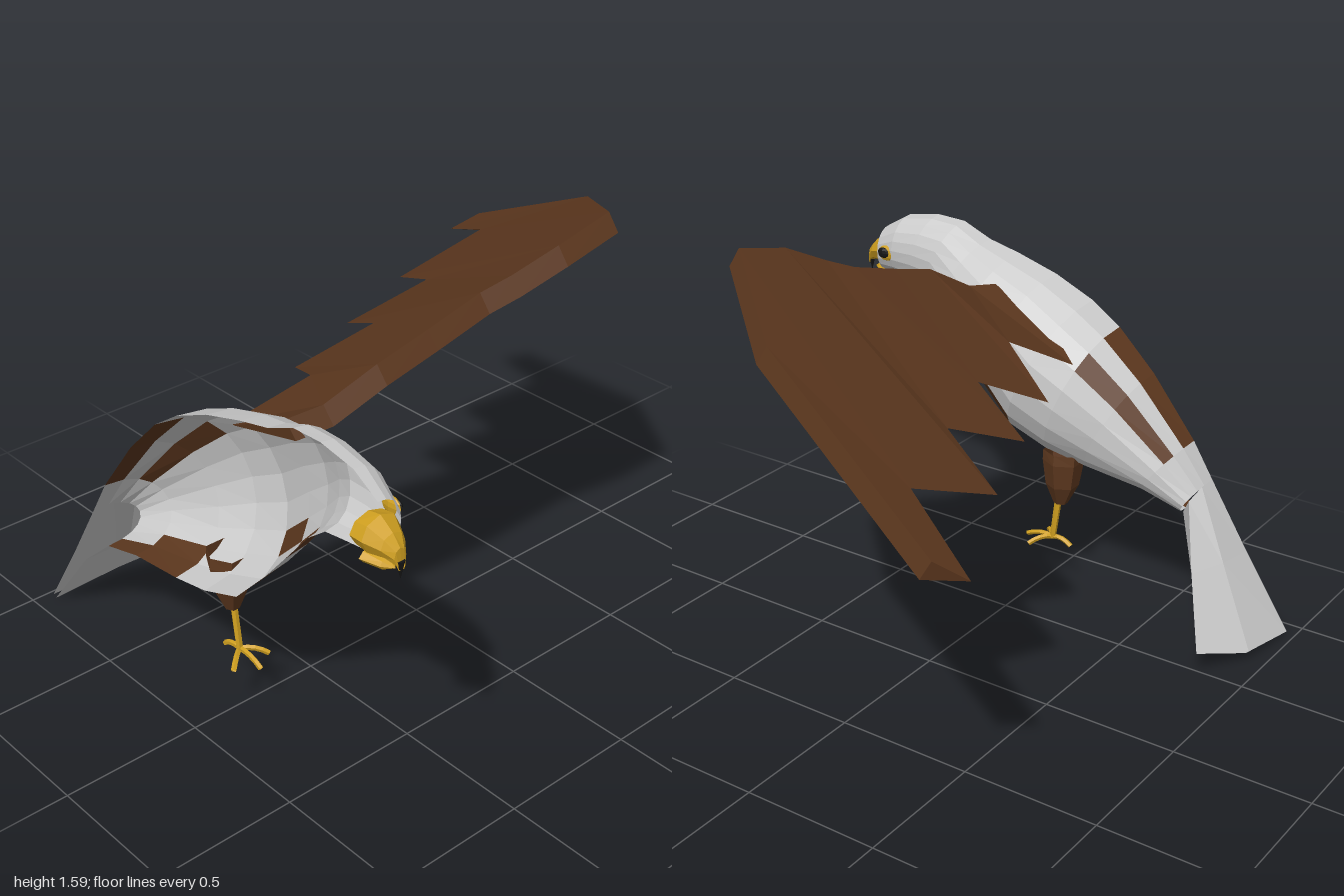
import * as THREE from 'three';

const MID = -0.93; // centre plane of the half bird
const mat = (color) => new THREE.MeshStandardMaterial({ color, flatShading: true, side: THREE.DoubleSide });
const grey = mat(0xcccccc), brown = mat(0x5c371e), yellow = mat(0xd0a020), black = mat(0x151515);

function named(geo, material, name) {
  const m = new THREE.Mesh(geo, material);
  m.name = name;
  return m;
}

// Skin over rows of [x, y, z] points; keep(i, j) picks the cells to draw
function skin(rows, material, name, keep = () => true) {
  const n = rows[0].length, index = [];
  for (let i = 0; i < rows.length - 1; i++)
    for (let j = 0; j < n - 1; j++) {
      if (!keep(i, j)) continue;
      const a = i * n + j, b = a + n;
      index.push(a, b, a + 1, b, b + 1, a + 1);
    }
  const geo = new THREE.BufferGeometry();
  geo.setAttribute('position', new THREE.Float32BufferAttribute(rows.flat(2), 3));
  geo.setIndex(index);
  const flat = geo.toNonIndexed();
  flat.computeVertexNormals();
  return named(flat, material, name);
}

// Slanted half ring between a top and a bottom point on the centre plane
function halfRing([tz, ty, bz, by, w], n = 10) {
  const ring = [];
  for (let j = 0; j <= n; j++) {
    const a = (j / n) * Math.PI, k = (1 - Math.cos(a)) / 2;
    ring.push([MID + w * Math.pow(Math.max(0, Math.sin(a)), 0.85), ty + (by - ty) * k, tz + (bz - tz) * k]);
  }
  return ring;
}

function limb(pts, radii, material, name, sides = 6) {
  const rows = pts.map(([x, y, z], i) => {
    const ring = [];
    for (let j = 0; j <= sides; j++) {
      const a = (j / sides) * Math.PI * 2;
      ring.push([x + Math.cos(a) * radii[i][0], y, z + Math.sin(a) * radii[i][1]]);
    }
    return ring;
  });
  return skin(rows, material, name);
}

function makeBody(g) {
  // top z, top y, bottom z, bottom y, half width
  const rows = [
    [0.86, 1.25, 0.86, 1.07, 0.085],
    [0.76, 1.31, 0.78, 1.065, 0.115],
    [0.62, 1.335, 0.70, 1.055, 0.13],
    [0.50, 1.33, 0.63, 1.045, 0.14],
    [0.38, 1.28, 0.55, 0.985, 0.18],
    [0.25, 1.25, 0.44, 0.86, 0.235],
    [0.08, 1.20, 0.33, 0.737, 0.265],
    [-0.08, 1.13, 0.18, 0.588, 0.30],
    [-0.20, 1.05, 0.01, 0.525, 0.29],
    [-0.354, 0.90, -0.15, 0.495, 0.25],
    [-0.535, 0.675, -0.38, 0.47, 0.20],
    [-0.62, 0.54, -0.55, 0.425, 0.16],
  ].map((r) => halfRing(r));
  // Brown plumage on the back, breast and rear belly
  const patch = (i, j) =>
    (i >= 8 && i <= 9 && (j === 0 || j === 2)) ||
    (i === 4 && j === 9) || (i === 5 && j === 8) || (i === 6 && (j === 9 || j === 7)) ||
    (i === 9 && j >= 8) || (i === 10 && j === 9);
  g.add(skin(rows, grey, 'body', (i, j) => !patch(i, j)));
  g.add(skin(rows, brown, 'plumagePatches', patch));
}

function makeTail(g) {
  // Each row: top centre, top middle, outer edge, underside middle, underside centre
  g.add(skin([
    [[MID, 0.54, -0.62], [-0.85, 0.54, -0.62], [-0.77, 0.51, -0.61], [-0.83, 0.43, -0.56], [MID, 0.425, -0.55]],
    [[MID, 0.29, -0.78], [-0.76, 0.31, -0.77], [-0.61, 0.315, -0.72], [-0.76, 0.30, -0.70], [MID, 0.29, -0.71]],
    [[MID, 0.01, -0.968], [-0.67, 0.04, -0.94], [-0.46, 0.096, -0.835], [-0.67, 0.03, -0.93], [MID, 0.0, -0.955]],
  ], grey, 'tail'));
}

function makeWing(g) {
  // Leading edge and the sawtooth trailing edge, from root to tip
  const lead = [
    [-0.74, 1.18, 0.27], [-0.62, 1.2, 0.305], [-0.45, 1.3, 0.36], [-0.25, 1.355, 0.372], [-0.04, 1.417, 0.385],
    [0.06, 1.46, 0.425], [0.21, 1.535, 0.48], [0.43, 1.59, 0.49], [0.75, 1.44, 0.11], [1.0, 1.06, -0.68],
  ];
  const trail = [
    [-0.74, 1.04, -0.04], [-0.67, 0.973, -0.16], [-0.43, 1.11, -0.037], [-0.29, 0.99, -0.294], [-0.04, 1.12, -0.17],
    [0.05, 1.0, -0.417], [0.33, 1.12, -0.305], [0.44, 1.005, -0.57], [0.765, 1.13, -0.48], [0.915, 0.99, -0.797],
  ];
  const rows = lead.map(([x, y, z], i) => [trail[i], [x - 0.01, y, z - 0.035], [x, y - 0.065, z], trail[i]]);
  // Collapsed end rows close the root and tip
  rows.unshift(Array(4).fill(trail[0]));
  rows.push(Array(4).fill(trail[9]));
  g.add(skin(rows, brown, 'wing'));
}

function makeHead(g) {
  // Beak rings: z, centre y, half width, half height
  const ring = ([z, y, w, h]) => {
    const pts = [];
    for (let j = 0; j <= 8; j++) {
      const a = (j / 8) * Math.PI * 2;
      pts.push([MID + Math.cos(a) * w, y + Math.sin(a) * h, z]);
    }
    return pts;
  };
  g.add(skin([[0.82, 1.155, 0.07, 0.05], [0.87, 1.155, 0.07, 0.06], [0.92, 1.14, 0.045, 0.04], [0.95, 1.115, 0.022, 0.03], [0.955, 1.085, 0.014, 0.012]]
    .map(ring), yellow, 'upperBeak'));
  g.add(skin([[0.84, 1.08, 0.055, 0.025], [0.90, 1.072, 0.03, 0.018], [0.93, 1.068, 0, 0]].map(ring), yellow, 'lowerBeak'));
  const tip = named(new THREE.ConeGeometry(0.015, 0.06, 6), black, 'beakTip');
  tip.position.set(MID, 1.075, 0.95);
  tip.rotation.x = Math.PI;
  g.add(tip);
  // Eye with a yellow rim
  const rim = named(new THREE.SphereGeometry(0.036, 8, 6), yellow, 'eyeRim');
  rim.scale.set(0.4, 0.85, 1.1);
  rim.position.set(-0.827, 1.17, 0.80);
  const eye = named(new THREE.SphereGeometry(0.027, 8, 6), black, 'eye');
  eye.scale.set(0.5, 0.8, 1.1);
  eye.position.set(-0.82, 1.172, 0.808);
  g.add(rim, eye);
}

function makeLeg(g) {
  const thigh = limb([[-0.775, 0.57, -0.07], [-0.775, 0.53, -0.07], [-0.773, 0.43, -0.07], [-0.773, 0.35, -0.065]],
    [[0.07, 0.08], [0.075, 0.08], [0.06, 0.065], [0.025, 0.028]], brown, 'thigh');
  const shank = limb([[-0.773, 0.36, -0.055], [-0.773, 0.19, -0.035]], [[0.012, 0.014], [0.013, 0.012]], yellow, 'shank');
  g.add(thigh, shank);
  // Three front toes and one rear toe
  for (const [x, z] of [[-0.85, 0.03], [-0.775, 0.08], [-0.70, 0.03], [-0.775, -0.115]]) {
    const curve = new THREE.QuadraticBezierCurve3(
      new THREE.Vector3(-0.773, 0.195, -0.035),
      new THREE.Vector3((x - 0.773) / 2, 0.208, (z - 0.035) / 2),
      new THREE.Vector3(x, 0.175, z));
    g.add(named(new THREE.TubeGeometry(curve, 4, 0.01, 5), yellow, 'toe'));
  }
}

export function createModel() {
  const g = new THREE.Group();
  g.name = 'halfBird';
  for (const build of [makeBody, makeTail, makeWing, makeHead, makeLeg]) build(g);
  return g;
}
